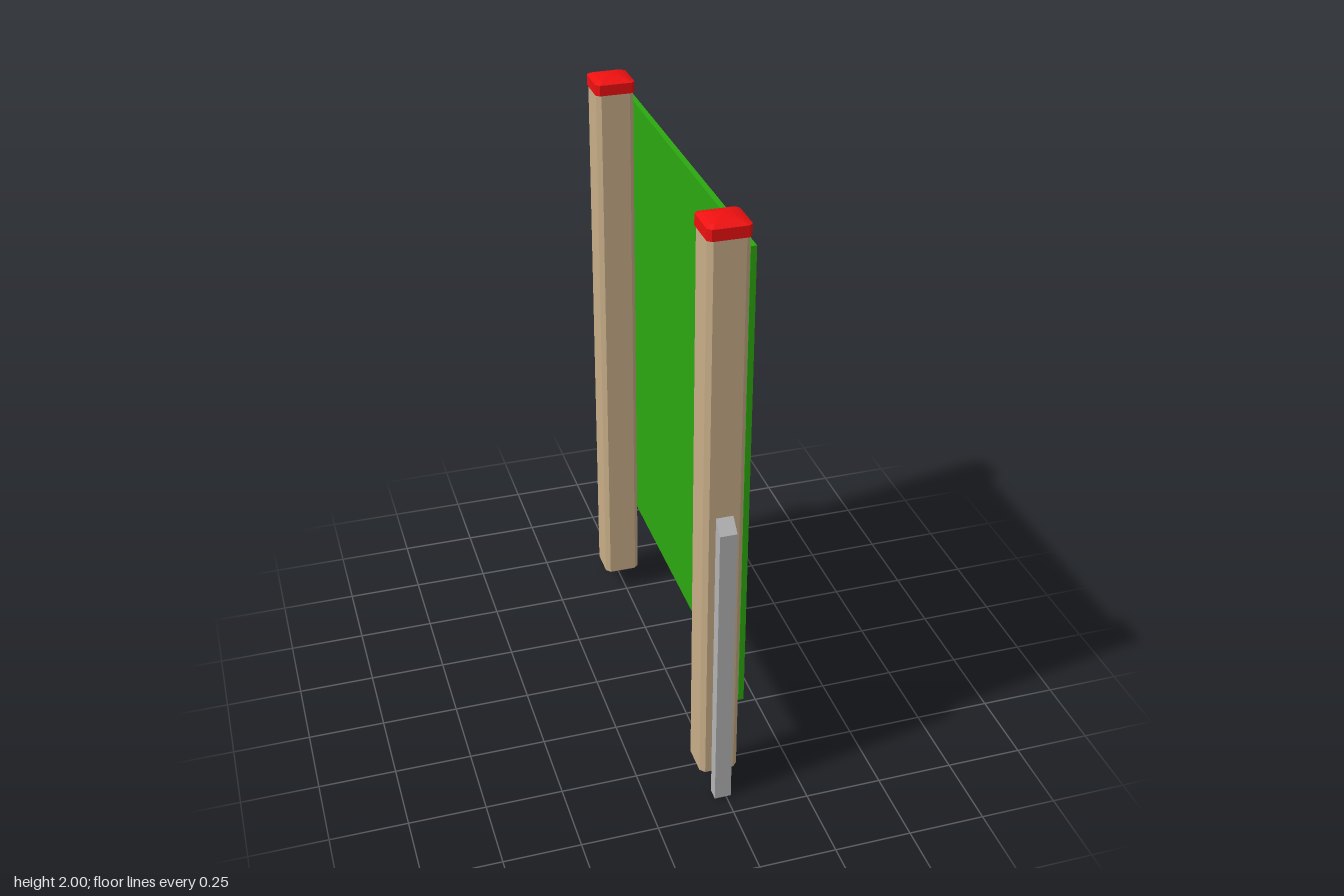
import * as THREE from 'three';

const POST_X = -0.011, POST_Z = 0.572;

const material = (color) => new THREE.MeshStandardMaterial({ color, flatShading: true });

// Square outline with cut corners, as [x, y] points running anticlockwise
function cutSquare(half, cut) {
  const a = half, b = half - cut;
  return [[a, -b], [a, b], [b, a], [-b, a], [-a, b], [-a, -b], [-b, -a], [b, -a]];
}

// Timber post with chamfered long edges and ends
function postGeometry() {
  const bevel = 0.008, bottom = 0.075, top = 1.965;
  const shape = new THREE.Shape(cutSquare(0.062 - bevel, 0.01).map(([x, y]) => new THREE.Vector2(x, y)));
  const geometry = new THREE.ExtrudeGeometry(shape, {
    depth: top - bottom - 2 * bevel, bevelEnabled: true, bevelSegments: 1,
    bevelSize: bevel, bevelThickness: bevel,
  });
  return geometry.rotateX(-Math.PI / 2).translate(0, bottom + bevel, 0);
}

// Cap: stacked cut-square rings, upright sides and a low pillow top
function capGeometry() {
  const rings = [[0, 1.95], [1, 1.95], [1, 1.985], [0.75, 1.992], [0.45, 1.997], [0, 2]];
  const outline = cutSquare(0.065, 0.012);
  const n = outline.length, positions = [], index = [];
  for (const [s, y] of rings) for (const [x, z] of outline) positions.push(x * s, y, -z * s);
  for (let r = 0; r < rings.length - 1; r++) {
    for (let i = 0; i < n; i++) {
      const a = r * n + i, b = r * n + (i + 1) % n;
      if (r > 0) index.push(a, b, a + n);
      if (r < rings.length - 2) index.push(b, b + n, a + n);
      if (r === 0) index.push(b, b + n, a + n);
    }
  }
  const geometry = new THREE.BufferGeometry();
  geometry.setAttribute('position', new THREE.Float32BufferAttribute(positions, 3));
  geometry.setIndex(index);
  geometry.computeVertexNormals();
  return geometry;
}

// Ground stake: flat bar whose top slopes down away from the post
function stakeGeometry() {
  const shape = new THREE.Shape([[0, 0], [0.04, 0], [0.04, 1.02], [0, 1.06]].map(([x, y]) => new THREE.Vector2(x, y)));
  const geometry = new THREE.ExtrudeGeometry(shape, { depth: 0.054, bevelEnabled: false });
  return geometry.translate(0, 0, -0.027).rotateY(-Math.PI / 2).translate(0, 0, 0.063);
}

export function createModel() {
  const model = new THREE.Group();
  model.name = 'panelOnPosts';

  const parts = [
    ['post', postGeometry(), material(0xc8ae88)],
    ['cap', capGeometry(), material(0xee1010)],
    ['stake', stakeGeometry(), material(0xb4b4b4)],
  ];

  // Two matching post assemblies, turned so each stake faces outwards
  for (const [side, z, turn] of [['front', POST_Z, 0], ['back', -POST_Z, Math.PI]]) {
    const assembly = new THREE.Group();
    assembly.name = `${side}PostAssembly`;
    for (const [name, geometry, mat] of parts) {
      const mesh = new THREE.Mesh(geometry, mat);
      mesh.name = `${side}${name[0].toUpperCase()}${name.slice(1)}`;
      assembly.add(mesh);
    }
    assembly.position.set(POST_X, 0, z);
    assembly.rotation.y = turn;
    model.add(assembly);
  }

  // Flat board fixed to the side of both posts
  const panel = new THREE.Mesh(new THREE.BoxGeometry(0.018, 1.572, 1.24), material(0x2ca810));
  panel.name = 'panel';
  panel.position.set(0.061, 1.129, 0);
  model.add(panel);

  return model;
}
